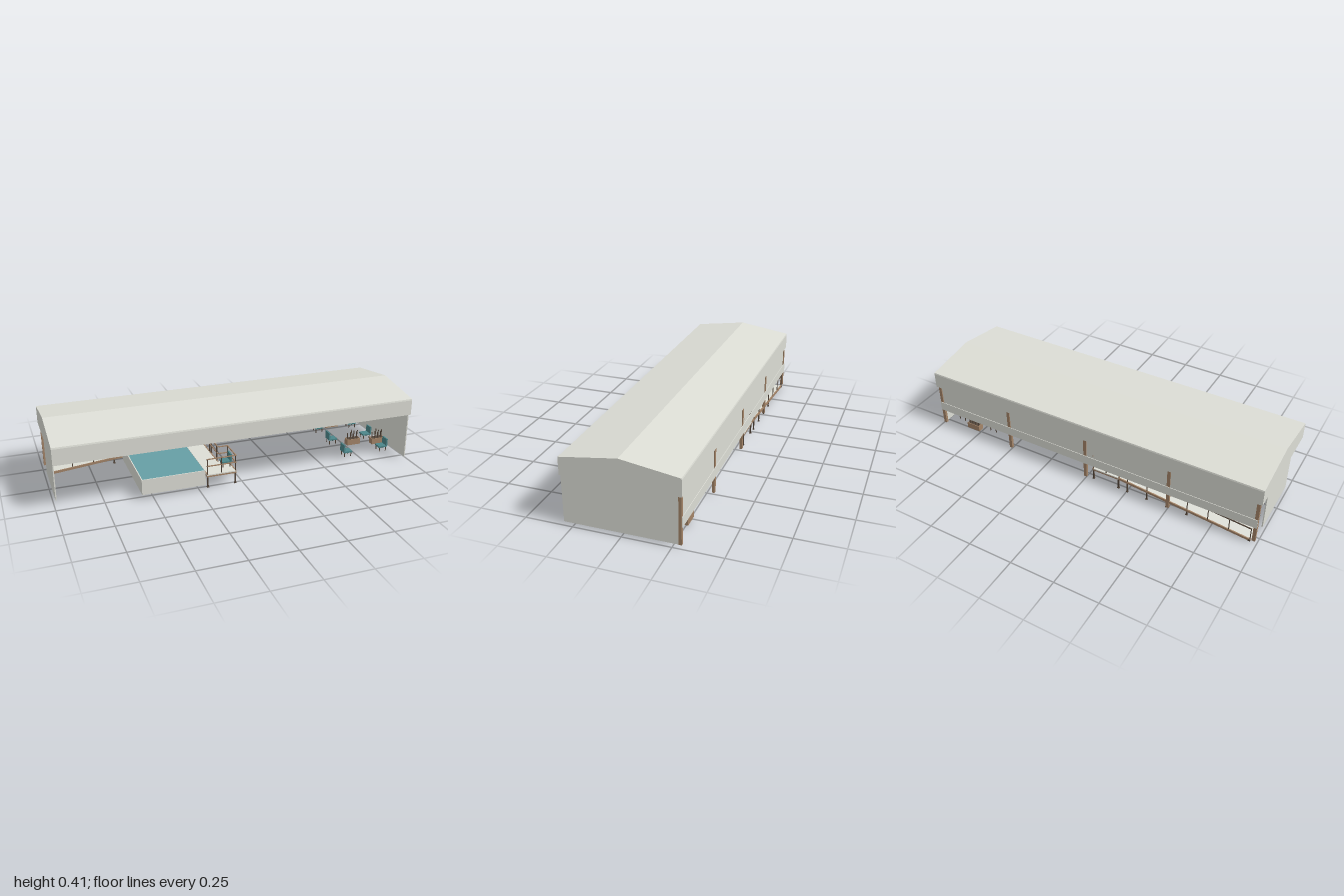
import * as THREE from 'three';

const mat = (name, color) => {
  const m = new THREE.MeshStandardMaterial({ color });
  m.name = name;
  return m;
};

export function createModel() {
  const root = new THREE.Group();
  root.name = 'poolPavilion';
  const grey = mat('pale grey cladding', 0xdcddd5);
  const brown = mat('brown timber', 0xa38468);
  const dark = mat('dark bronze', 0x54463a);
  const teal = mat('teal furniture', 0x4c868a);
  const water = mat('pool water', 0x669fa5);

  const group = (name, parent = root) => {
    const g = new THREE.Group();
    g.name = name;
    parent.add(g);
    return g;
  };
  // Box given by its limits on each axis
  const box = (parent, name, m, x0, x1, y0, y1, z0, z1) => {
    const mesh = new THREE.Mesh(new THREE.BoxGeometry(x1 - x0, y1 - y0, z1 - z0), m);
    mesh.position.set((x0 + x1) / 2, (y0 + y1) / 2, (z0 + z1) / 2);
    mesh.name = name;
    parent.add(mesh);
  };
  // Square bar between two points
  const bar = (parent, name, m, a, b, w = 0.005, h = w) => {
    const p = new THREE.Vector3(...a), q = new THREE.Vector3(...b);
    const mesh = new THREE.Mesh(new THREE.BoxGeometry(w, h, p.distanceTo(q)), m);
    mesh.position.copy(p).add(q).multiplyScalar(0.5);
    if (Math.abs(q.x - p.x) + Math.abs(q.z - p.z) < 1e-6) mesh.rotation.x = Math.PI / 2;
    else mesh.lookAt(q);
    mesh.name = name;
    parent.add(mesh);
  };
  // Profile in (z, y) extruded along x
  const extrudeX = (parent, name, m, pts, x0, x1) => {
    const shape = new THREE.Shape(pts.map(([z, y]) => new THREE.Vector2(-z, y)));
    const geo = new THREE.ExtrudeGeometry(shape, { depth: x1 - x0, bevelEnabled: false });
    geo.rotateY(Math.PI / 2).translate(x0, 0, 0);
    const mesh = new THREE.Mesh(geo, m);
    mesh.name = name;
    parent.add(mesh);
  };

  // Roof shell with deep fascia and gable ends
  const roof = group('roof');
  const outer = [[0.3, 0.273], [0.3, 0.36], [0.298, 0.368], [0, 0.412], [-0.298, 0.368], [-0.3, 0.36], [-0.3, 0.273]];
  const inner = [[-0.296, 0.273], [-0.296, 0.363], [0, 0.407], [0.296, 0.363], [0.296, 0.273]];
  extrudeX(roof, 'roofShell', grey, [...outer, ...inner], -0.995, 0.995);
  for (const x of [-1, 0.995]) extrudeX(roof, 'gable', grey, outer, x, x + 0.005);

  // Walls
  const walls = group('walls');
  box(walls, 'endWallLeft', grey, 0.982, 0.988, 0.016, 0.275, -0.28, 0.299);
  box(walls, 'endWallRight', grey, -0.988, -0.982, 0.016, 0.275, -0.18, 0.165);
  box(walls, 'backPanel', grey, -0.985, 0.985, 0.114, 0.275, -0.289, -0.286);
  box(walls, 'backLowerBand', grey, -0.99, 0.99, 0.111, 0.165, -0.298, -0.295);

  // Columns along the back
  const columns = group('columns');
  for (const x of [-0.981, -0.5, 0, 0.5, 0.981])
    box(columns, 'column', brown, x - 0.009, x + 0.009, 0.016, 0.275, -0.294, -0.279);

  // Hanging slats in the back corner
  const slats = group('slats');
  for (let i = 0; i < 12; i++) {
    const x = -0.954 + i * 0.0174;
    box(slats, 'slat', teal, x - 0.0055, x + 0.0055, 0.172, 0.275, -0.276, -0.271);
  }

  // Pool basin
  const pool = group('pool');
  box(pool, 'basin', grey, -0.56, -0.215, 0.028, 0.106, -0.172, 0.28);
  box(pool, 'waterSurface', water, -0.555, -0.22, 0.106, 0.111, -0.167, 0.275);
  for (const [a, b] of [[-0.56, -0.555], [-0.22, -0.215]]) box(pool, 'rim', grey, a, b, 0.106, 0.113, -0.172, 0.28);
  for (const [a, b] of [[-0.172, -0.167], [0.275, 0.28]]) box(pool, 'rim', grey, -0.555, -0.22, 0.106, 0.113, a, b);
  // Sloping handrails into the water
  for (const z of [-0.12, -0.08]) {
    bar(pool, 'poolRail', brown, [-0.31, 0.113, z], [-0.235, 0.163, z], 0.004);
    bar(pool, 'poolRailPost', brown, [-0.235, 0.1, z], [-0.235, 0.163, z], 0.004);
  }

  // Front platform, narrow walkway and back landing beside the pool
  const walk = group('walkway');
  const section = (name, x0, x1, z0, z1, legZ) => {
    const g = group(name, walk);
    box(g, 'deck', grey, x0, x1, 0.084, 0.09, z0, z1);
    for (const x of [x0, x1 - 0.006]) box(g, 'sideBeam', brown, x, x + 0.006, 0.076, 0.092, z0, z1);
    for (const z of [z0, (z0 + z1) / 2, z1 - 0.006])
      box(g, 'crossBeam', brown, x0 + 0.006, x1 - 0.006, 0.076, 0.084, z, z + 0.006);
    for (const z of legZ) {
      for (const x of [x0 + 0.006, x1 - 0.004]) {
        bar(g, 'leg', dark, [x, 0.016, z], [x, 0.078, z], 0.007);
        box(g, 'foot', dark, x - 0.006, x + 0.006, 0.014, 0.018, z - 0.006, z + 0.006);
      }
      bar(g, 'railPost', dark, [x1 - 0.003, 0.09, z], [x1 - 0.003, 0.178, z]);
    }
    for (const y of [0.178, 0.138]) bar(g, 'sideRail', brown, [x1 - 0.003, y, z0], [x1 - 0.003, y, z1]);
  };
  const [wx0, wx1] = [-0.21, -0.045];
  section('frontPlatform', wx0, wx1, 0.15, 0.29, [0.155, 0.282]);
  section('middleWalkway', wx0, -0.1, -0.12, 0.15, [0.01, 0.135]);
  section('backLanding', wx0, wx1, -0.29, -0.12, [-0.284, -0.125]);
  for (const z of [-0.286, 0.286]) {
    for (const y of [0.178, 0.138]) bar(walk, 'endRail', brown, [wx0, y, z], [wx1, y, z]);
    for (const x of [wx0 + 0.003, -0.128]) bar(walk, 'endRailPost', dark, [x, 0.09, z], [x, 0.178, z]);
  }
  for (const z of [-0.123, 0.153])
    for (const y of [0.178, 0.138]) bar(walk, 'cornerRail', brown, [-0.1, y, z], [wx1, y, z]);

  // Ramp up to the walkway
  const ramp = group('ramp');
  const [rx0, rx1] = [-0.965, -0.21];
  const deckY = x => 0.009 + (x - rx0) * 0.1;
  const railY = x => 0.086 + (x - rx0) * 0.087;
  bar(ramp, 'rampDeck', grey, [rx0, deckY(rx0), -0.233], [rx1, deckY(rx1), -0.233], 0.106, 0.004);
  for (const z of [-0.178, -0.288]) {
    bar(ramp, 'rampBeam', brown, [rx0, deckY(rx0), z], [rx1, deckY(rx1), z], 0.007, 0.013);
    bar(ramp, 'rampRail', dark, [rx0, railY(rx0), z], [-0.155, railY(-0.155), z]);
    box(ramp, 'rampEndFoot', dark, rx0, rx0 + 0.012, 0.002, 0.014, z - 0.005, z + 0.005);
    for (let i = 0; i < 7; i++) {
      const x = rx0 + 0.003 + i * 0.117;
      bar(ramp, 'rampPost', dark, [x, deckY(x), z], [x, railY(x), z], 0.004);
      if (i > 2) {
        bar(ramp, 'rampLeg', dark, [x, 0.017, z], [x, deckY(x), z], 0.006);
        box(ramp, 'rampFoot', dark, x - 0.006, x + 0.006, 0.014, 0.018, z - 0.005, z + 0.005);
      }
    }
  }
  for (let i = 0; i < 7; i++) {
    const x = rx0 + 0.005 + i * 0.117;
    box(ramp, 'rampCrossBeam', brown, x - 0.004, x + 0.004, deckY(x) - 0.007, deckY(x), -0.284, -0.182);
  }

  // Chairs, each facing +x before turning
  const chair = (x, y, z, turn) => {
    const c = group('chair');
    box(c, 'seat', teal, -0.024, 0.026, 0.024, 0.033, -0.024, 0.024);
    box(c, 'backrest', teal, -0.028, -0.02, 0.028, 0.074, -0.024, 0.024);
    for (const lx of [-0.02, 0.02])
      for (const lz of [-0.019, 0.019]) bar(c, 'chairLeg', dark, [lx, 0, lz], [lx, 0.025, lz], 0.004);
    c.position.set(x, y, z);
    c.rotation.y = turn;
  };
  for (const z of [0.17, -0.02, -0.205]) {
    chair(0.677, 0.016, z, 0);
    chair(0.905, 0.016, z, Math.PI);
  }
  chair(-0.08, 0.09, 0.21, Math.PI);

  // Planters with upright stems
  const planter = (x, z) => {
    const p = group('planter');
    box(p, 'planterBox', brown, x - 0.042, x + 0.042, 0.017, 0.052, z - 0.018, z + 0.018);
    box(p, 'soil', dark, x - 0.037, x + 0.037, 0.052, 0.054, z - 0.014, z + 0.014);
    for (let i = 0; i < 7; i++) {
      const sx = x - 0.03 + i * 0.01, sz = z + (i % 2 ? 0.007 : -0.007);
      bar(p, 'stem', dark, [sx, 0.052, sz], [sx + 0.004 * ((i % 3) - 1) + 0.001, 0.085 + 0.009 * (i % 3), sz], 0.004);
    }
  };
  planter(0.79, -0.25);
  planter(0.79, 0.035);
  planter(0.935, 0.07);

  return root;
}
